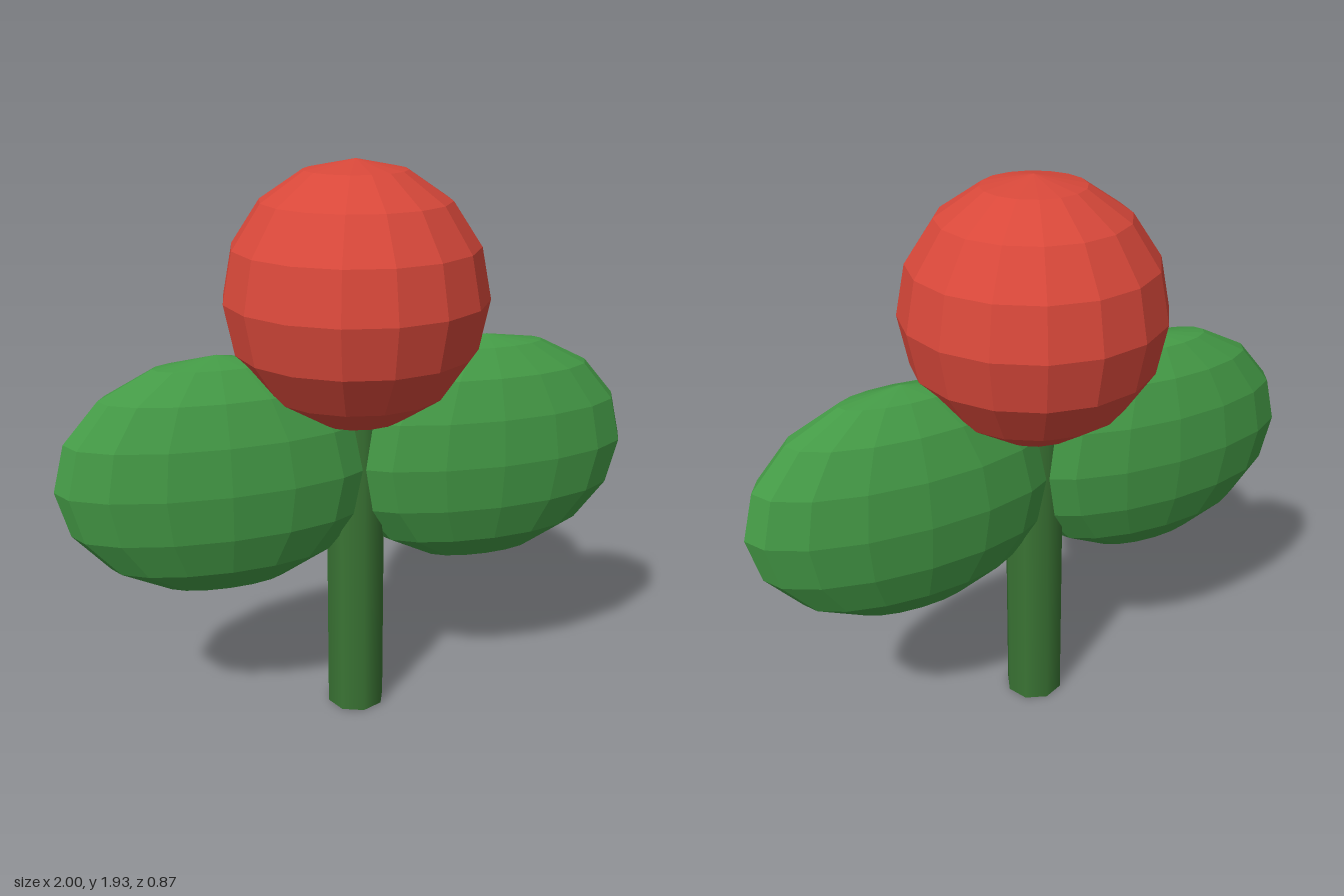
import * as THREE from 'three';

export function createModel() {
  const model = new THREE.Group();
  const petalRed = new THREE.MeshStandardMaterial({ name: 'petalRed', color: 0xd8483a, flatShading: true });
  const leafGreen = new THREE.MeshStandardMaterial({ name: 'leafGreen', color: 0x449a46, flatShading: true });
  const stemGreen = new THREE.MeshStandardMaterial({ name: 'stemGreen', color: 0x3a7434 });

  const add = (name, geometry, material, x, y) => {
    const mesh = new THREE.Mesh(geometry, material);
    mesh.name = name;
    mesh.position.set(x, y, 0);
    model.add(mesh);
    return mesh;
  };

  // Stem, running up into the bloom
  add('stem', new THREE.CylinderGeometry(0.103, 0.103, 1.2, 8), stemGreen, 0, 0.6);

  // Round bloom
  add('bloom', new THREE.SphereGeometry(0.435, 16, 8), petalRed, 0, 1.5);

  // Two flattened leaves, mirrored and meeting inside the stem
  for (const [name, side] of [['leftLeaf', 1], ['rightLeaf', -1]]) {
    const leaf = add(name, new THREE.SphereGeometry(1, 16, 8), leafGreen, side * 0.463, 0.932);
    leaf.scale.set(0.537, 0.41, 0.205);
  }
  return model;
}
